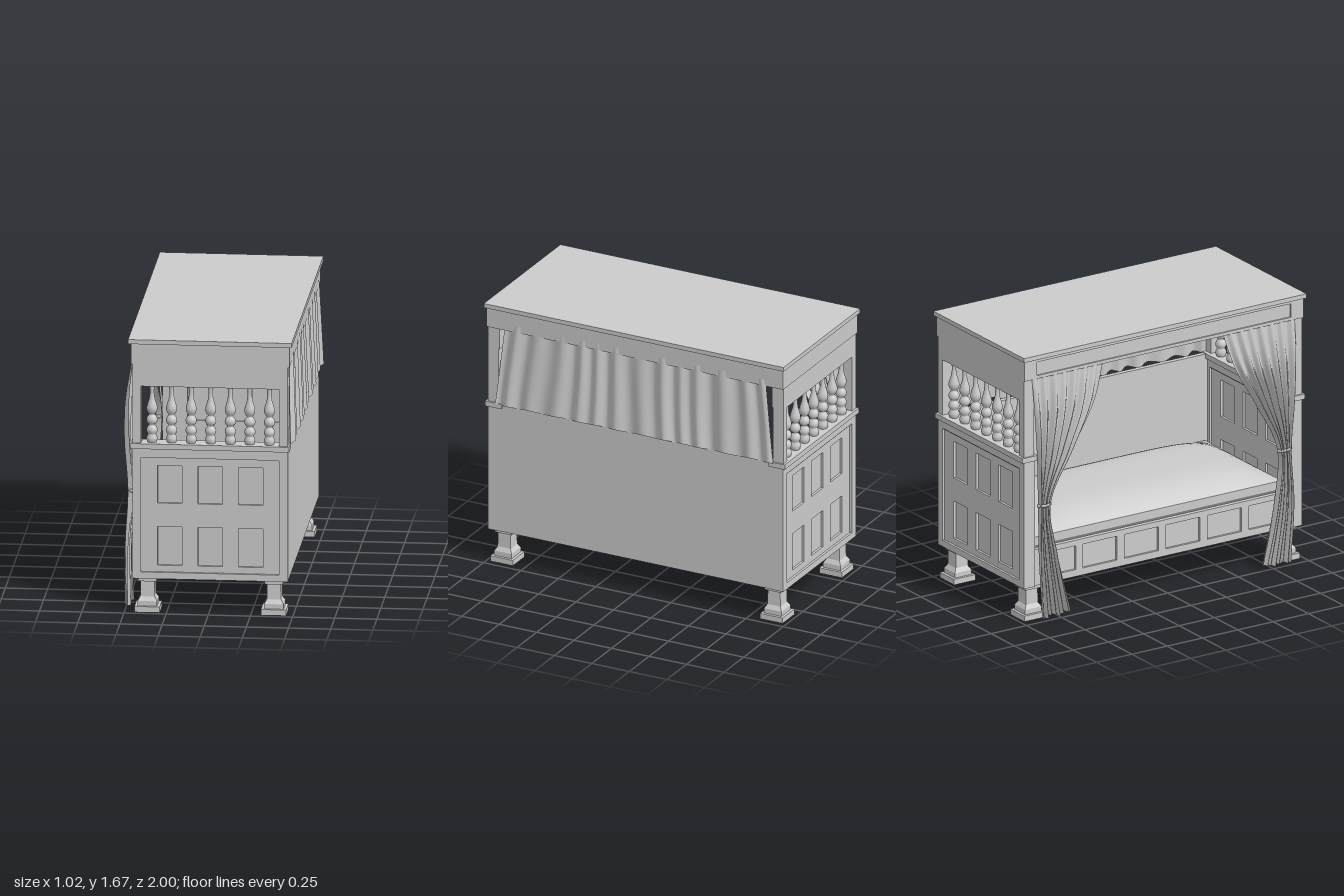
import * as THREE from 'three';

const material = new THREE.MeshStandardMaterial({ color: 0xcccccc });
const clothMaterial = new THREE.MeshStandardMaterial({ color: 0xcccccc, side: THREE.DoubleSide });

function add(parent, name, geometry, x = 0, y = 0, z = 0, mat = material) {
  const mesh = new THREE.Mesh(geometry, mat);
  mesh.name = name;
  mesh.position.set(x, y, z);
  parent.add(mesh);
  return mesh;
}

// Box given by its low and high corners
function block(parent, name, x0, x1, y0, y1, z0, z1) {
  return add(parent, name, new THREE.BoxGeometry(x1 - x0, y1 - y0, z1 - z0),
    (x0 + x1) / 2, (y0 + y1) / 2, (z0 + z1) / 2);
}

// Upright board in the xy plane with rectangular openings [x0, x1, y0, y1]
function boardWithOpenings(x0, x1, y0, y1, depth, openings) {
  const corners = ([a, b, c, d]) => [[a, c], [b, c], [b, d], [a, d]].map(p => new THREE.Vector2(...p));
  const shape = new THREE.Shape(corners([x0, x1, y0, y1]));
  for (const o of openings) shape.holes.push(new THREE.Path(corners(o).reverse()));
  return new THREE.ExtrudeGeometry(shape, { depth, bevelEnabled: false }).translate(0, 0, -depth / 2);
}

// Cloth surface from a point function of u (across) and v (downwards)
function cloth(nu, nv, pointAt) {
  const geometry = new THREE.PlaneGeometry(1, 1, nu, nv);
  const position = geometry.attributes.position;
  for (let i = 0; i < position.count; i++) {
    const p = pointAt((i % (nu + 1)) / nu, Math.floor(i / (nu + 1)) / nv);
    position.setXYZ(i, p.x, p.y, p.z);
  }
  geometry.computeVertexNormals();
  return geometry;
}

// Turned baluster standing on y = 0
function balusterGeometry() {
  const points = [[0.026, 0], [0.032, 0.015], [0.032, 0.03], [0.024, 0.047], [0.024, 0.052],
    [0.032, 0.065], [0.033, 0.08], [0.025, 0.097], [0.018, 0.102], [0.018, 0.11], [0.027, 0.116],
    [0.033, 0.13], [0.032, 0.145], [0.024, 0.16], [0.017, 0.165], [0.017, 0.172], [0.025, 0.18],
    [0.032, 0.198], [0.032, 0.215], [0.025, 0.24], [0.017, 0.265], [0.013, 0.295], [0.013, 0.32],
    [0.017, 0.348]];
  return new THREE.LatheGeometry(points.map(p => new THREE.Vector2(...p)), 20);
}

// Square foot with stepped base and capital
function makeLeg(x, z) {
  const leg = new THREE.Group();
  leg.name = 'leg';
  leg.position.set(x, 0, z);
  const tiers = [[0.075, 0.075, 0, 0.035], [0.058, 0.058, 0.035, 0.065], [0.058, 0.043, 0.065, 0.09],
    [0.043, 0.041, 0.09, 0.185], [0.055, 0.055, 0.185, 0.215]];
  for (const [bottom, top, y0, y1] of tiers) {
    const tier = new THREE.CylinderGeometry(top * Math.SQRT2, bottom * Math.SQRT2, y1 - y0, 4, 1)
      .rotateY(Math.PI / 4).toNonIndexed();
    tier.computeVertexNormals();
    add(leg, 'legTier', tier, 0, (y0 + y1) / 2, 0);
  }
  return leg;
}

// Panelled end with a baluster gallery above it, facing +z
function makeEnd() {
  const end = new THREE.Group();
  const zMid = 0.945;
  add(end, 'endFrame', boardWithOpenings(-0.46, 0.46, 0.21, 1.005, 0.08, [[-0.41, 0.41, 0.25, 0.955]]), 0, 0, zMid);
  const panels = [];
  for (const x of [-0.24, 0, 0.24])
    for (const [y0, y1] of [[0.29, 0.525], [0.67, 0.9]]) panels.push([x - 0.073, x + 0.073, y0, y1]);
  add(end, 'endPanelGrid', boardWithOpenings(-0.41, 0.41, 0.25, 0.955, 0.05, panels), 0, 0, zMid);
  block(end, 'endPanelCore', -0.41, 0.41, 0.25, 0.955, zMid - 0.01, zMid + 0.01);
  block(end, 'panelMoulding', -0.41, 0.41, 0.948, 0.955, zMid - 0.034, zMid + 0.034);
  block(end, 'capRail', -0.47, 0.47, 1.005, 1.037, 0.89, 1);
  for (const side of [-1, 1])
    add(end, 'cornerPost', new THREE.BoxGeometry(0.05, 0.483, 0.07), side * 0.435, 1.2785, 0.95);
  block(end, 'lowerFrieze', -0.46, 0.46, 1.385, 1.525, 0.91, 0.985);
  block(end, 'upperFrieze', -0.47, 0.47, 1.52, 1.646, 0.9, 0.989);
  const baluster = balusterGeometry();
  for (let i = -3; i <= 3; i++) add(end, 'baluster', baluster, i * 0.116, 1.037, zMid);
  return end;
}

// Long curtain gathered by a tie and flaring to the floor
function makeLongCurtain() {
  const curtain = new THREE.Group();
  const rows = [[-0.457, 1.54, 0.42, 0.93], [-0.488, 1.3, 0.5, 0.925], [-0.495, 1.05, 0.64, 0.91],
    [-0.476, 0.72, 0.81, 0.89], [-0.495, 0.4, 0.77, 0.9], [-0.495, 0.02, 0.68, 0.88]];
  const inner = new THREE.CatmullRomCurve3(rows.map(([x, y, z]) => new THREE.Vector3(x, y, z)));
  const outer = new THREE.CatmullRomCurve3(rows.map(([x, y, , z]) => new THREE.Vector3(x, y, z)));
  add(curtain, 'curtainCloth', cloth(90, 50, (u, v) => {
    const p = inner.getPoint(v).lerp(outer.getPoint(v), u);
    const fold = Math.sin(u * Math.PI * 14 + 0.8 * Math.sin(v * 4)) + 0.35 * Math.sin(u * 17 + v * 3);
    p.x += fold * (0.009 + 0.008 * Math.min(1, v * 4));
    p.y += 0.008 * Math.sin(u * 12) * v;
    return p;
  }), 0, 0, 0, clothMaterial);
  const tie = add(curtain, 'curtainTie', new THREE.TorusGeometry(0.04, 0.006, 8, 24), -0.474, 0.72, 0.85);
  tie.rotation.x = Math.PI / 2;
  tie.scale.set(0.5, 1.1, 1.6);
  return curtain;
}

export function createModel() {
  const model = new THREE.Group();
  model.name = 'canopyBed';
  const bed = new THREE.Group();
  bed.name = 'bed';
  bed.position.x = 0.01;
  model.add(bed);

  // Canopy
  block(bed, 'canopyTop', -0.485, 0.485, 1.645, 1.672, -1, 1);
  block(bed, 'wallSideFrieze', 0.435, 0.47, 1.52, 1.646, -0.985, 0.985);
  const friezeBoard = boardWithOpenings(-0.985, 0.985, 1.52, 1.646, 0.03, [[-0.92, 0.92, 1.54, 1.625]]);
  add(bed, 'openSideFrieze', friezeBoard, -0.455).rotation.y = -Math.PI / 2;
  block(bed, 'openSideFriezeCore', -0.46, -0.435, 1.535, 1.63, -0.93, 0.93);

  // Head and foot ends, legs and long curtains
  for (const side of [1, -1]) {
    const end = makeEnd();
    end.name = side > 0 ? 'footEnd' : 'headEnd';
    if (side < 0) end.rotation.y = Math.PI;
    bed.add(end);
    for (const x of [-0.375, 0.375]) bed.add(makeLeg(x, side * 0.9));
    const curtain = makeLongCurtain();
    curtain.name = side > 0 ? 'footCurtain' : 'headCurtain';
    curtain.scale.z = side;
    bed.add(curtain);
  }

  // Closed side wall, floor and panelled rail on the open side
  block(bed, 'sideWall', 0.43, 0.461, 0.212, 1.033, -0.985, 0.985);
  block(bed, 'floor', -0.45, 0.45, 0.213, 0.25, -0.95, 0.95);
  const railPanels = [];
  for (let i = 0; i < 6; i++) {
    const z = (i - 2.5) * 0.293;
    railPanels.push([z - 0.12, z + 0.12, 0.255, 0.405]);
  }
  add(bed, 'sideRail', boardWithOpenings(-0.91, 0.91, 0.212, 0.44, 0.03, railPanels), -0.437).rotation.y = -Math.PI / 2;
  block(bed, 'sideRailCore', -0.437, -0.41, 0.22, 0.435, -0.9, 0.9);

  // Mattress with a domed top
  block(bed, 'mattressBase', -0.41, 0.43, 0.4, 0.44, -0.905, 0.905);
  const mattress = new THREE.BoxGeometry(0.82, 0.1, 1.76, 24, 4, 40);
  const position = mattress.attributes.position;
  for (let i = 0; i < position.count; i++) {
    const u = position.getX(i) / 0.41, v = position.getZ(i) / 0.88, h = position.getY(i) / 0.1 + 0.5;
    const dome = (1 - u ** 4) * (1 - v ** 6);
    position.setY(i, h * (0.06 + 0.1 * dome));
  }
  mattress.computeVertexNormals();
  add(bed, 'mattress', mattress, 0.01, 0.435, 0);

  // Short pleated curtain above the closed wall
  add(bed, 'shortCurtain', cloth(240, 16, (u, v) => {
    const phase = u * Math.PI * 2 * 13 + 1.1 * Math.sin(u * 19) + 0.3 * Math.sin(v * 3 + u * 9);
    const fold = Math.sin(phase) + 0.3 * Math.sin(u * 47 + 1);
    const z = (u * 2 - 1) * (0.87 + 0.06 * v);
    return new THREE.Vector3(0.461 + 0.018 * v + fold * (0.011 + 0.003 * v),
      1.56 - 0.525 * v + 0.006 * v * Math.sin(phase), z);
  }), 0, 0, 0, clothMaterial);

  return model;
}
